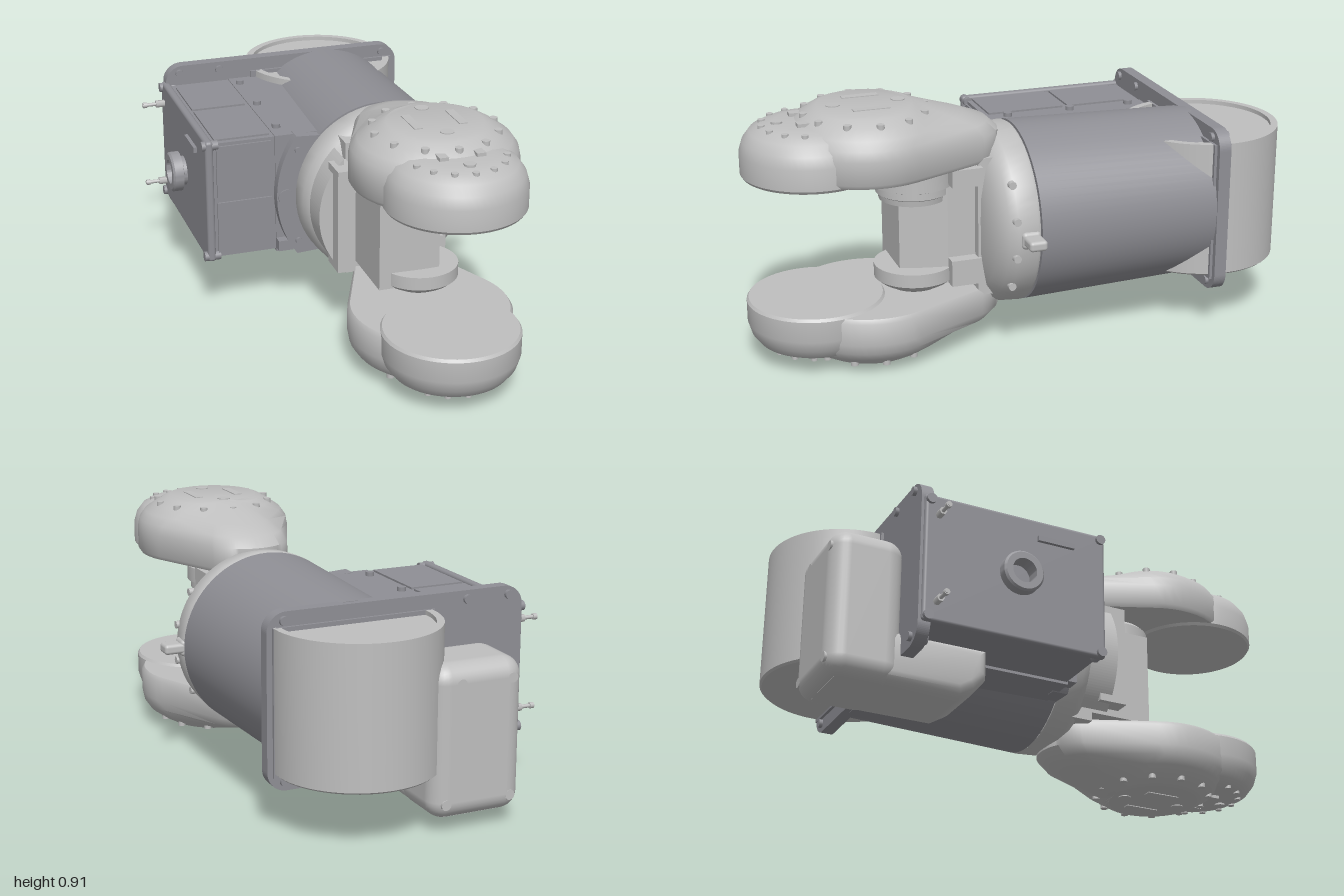
import * as THREE from 'three';
import { toCreasedNormals } from 'three/addons/utils/BufferGeometryUtils.js';
import { RoundedBoxGeometry } from 'three/addons/geometries/RoundedBoxGeometry.js';

const CX = 0.17, CY = 0.455; // main axis of the joint

export function createModel() {
  const root = new THREE.Group();
  root.name = 'robotJoint';
  const light = new THREE.MeshStandardMaterial({ color: 0xbfbfbf });
  light.name = 'light grey';
  const dark = new THREE.MeshStandardMaterial({ color: 0x8f8f95 });
  dark.name = 'dark grey';

  const add = (name, geo, mat, x = 0, y = 0, z = 0, parent = root) => {
    const m = new THREE.Mesh(geo, mat);
    m.name = name;
    m.position.set(x, y, z);
    parent.add(m);
    return m;
  };
  // box given by its limits, optionally with rounded edges
  const box = (name, mat, [x0, x1], [y0, y1], [z0, z1], r = 0) => {
    const s = [x1 - x0, y1 - y0, z1 - z0];
    const g = r ? new RoundedBoxGeometry(...s, 4, r) : new THREE.BoxGeometry(...s);
    return add(name, g, mat, (x0 + x1) / 2, (y0 + y1) / 2, (z0 + z1) / 2);
  };
  // cylinder along a chosen axis
  const rod = (name, mat, axis, r, len, x, y, z, seg = 20, parent = root) => {
    const g = new THREE.CylinderGeometry(r, r, len, seg);
    if (axis === 'x') g.rotateZ(Math.PI / 2);
    if (axis === 'z') g.rotateX(Math.PI / 2);
    return add(name, g, mat, x, y, z, parent);
  };
  const lathe = (pts, crease = 0.6) => toCreasedNormals(
    new THREE.LatheGeometry(pts.map(p => new THREE.Vector2(...p)), 64), crease);

  // ---- main tube, slightly tapered to the back
  const tube = new THREE.CylinderGeometry(0.326, 0.307, 0.69, 72).rotateX(Math.PI / 2);
  add('mainTube', tube, dark, CX, CY, -0.32);

  // ---- back flange with corner bolts
  const fx = 0.475, fy = 0.305, fr = 0.07;
  const fl = new THREE.Shape();
  fl.moveTo(-fx + fr, -fy);
  fl.absarc(fx - fr, -fy + fr, fr, -Math.PI / 2, 0);
  fl.absarc(fx - fr, fy - fr, fr, 0, Math.PI / 2);
  fl.absarc(-fx + fr, fy - fr, fr, Math.PI / 2, Math.PI);
  fl.absarc(-fx + fr, -fy + fr, fr, Math.PI, Math.PI * 1.5);
  add('backFlange', new THREE.ExtrudeGeometry(fl, { depth: 0.045, bevelEnabled: false, curveSegments: 10 }),
    dark, 0.005, CY, -0.69);
  box('flangeRim', dark, [-0.13, 0.46], [0.2, 0.71], [-0.7, -0.635]);
  for (const y of [0.183, 0.73]) for (const x of [-0.415, -0.255, 0.42])
    rod('flangeBolt', dark, 'z', 0.016, 0.07, x, y, -0.668, 12);

  // ---- rear drum, upright with a raised rim
  add('rearDrum', lathe([[0, 0.21], [0.28, 0.21], [0.288, 0.217], [0.288, 0.71], [0.262, 0.71], [0.262, 0.695], [0, 0.695]]),
    light, CX, 0, -0.71);

  // ---- rear motor cover and its foot under the flange
  box('motorCover', light, [-0.34, 0.0], [0.05, 0.585], [-0.945, -0.68], 0.065);
  const foot = new THREE.Shape([[-0.9, 0.052], [-0.46, 0.052], [-0.405, 0.085], [-0.36, 0.14], [-0.36, 0.25], [-0.9, 0.25]]
    .map(p => new THREE.Vector2(...p)));
  const footGeo = new THREE.ExtrudeGeometry(foot, { depth: 0.2, bevelThickness: 0.06, bevelSize: 0.04, bevelOffset: -0.04, bevelSegments: 4 });
  footGeo.rotateY(-Math.PI / 2);
  add('motorFoot', toCreasedNormals(footGeo, 0.7), light, -0.07, 0, 0);
  for (const [x, y] of [[-0.29, 0.11], [-0.05, 0.11], [-0.29, 0.52], [-0.1, 0.52]])
    rod('coverBolt', light, 'z', 0.018, 0.05, x, y, -0.92, 12);

  // ---- side electronics box
  box('boxNeck', dark, [-0.22, 0.05], [0.225, 0.685], [-0.65, -0.005]);
  box('boxBody', dark, [-0.46, -0.2], [0.235, 0.682], [-0.66, -0.01]);
  box('boxLid', dark, [-0.482, -0.452], [0.222, 0.695], [-0.68, 0.005], 0.012);
  for (const [z0, z1] of [[-0.6, -0.35], [-0.33, -0.03]])
    box('boxTopPanel', dark, [-0.44, -0.235], [0.68, 0.689], [z0, z1]);
  for (const [y0, y1] of [[0.25, 0.45], [0.47, 0.67]])
    box('boxFrontPanel', dark, [-0.44, -0.235], [y0, y1], [-0.012, -0.003]);
  for (const y of [0.24, 0.675]) for (const z of [-0.66, -0.015])
    rod('lidScrew', dark, 'x', 0.018, 0.06, -0.463, y, z, 12);
  for (const z of [-0.58, -0.34, -0.09]) rod('neckScrew', dark, 'y', 0.016, 0.02, -0.19, 0.69, z, 12);
  box('lidHandle', dark, [-0.495, -0.48], [0.61, 0.63], [-0.26, -0.12]);

  // crescent joining the box to the tube
  const cr = new THREE.Shape();
  const a = 0.63;
  cr.absarc(0, 0, 0.395, Math.PI - a, Math.PI + a, false);
  cr.absarc(0, 0, 0.3, Math.PI + 0.85, Math.PI - 0.85, true);
  add('boxCrescent', new THREE.ExtrudeGeometry(cr, { depth: 0.06, bevelEnabled: false, curveSegments: 24 }),
    dark, CX, CY, -0.03);
  rod('crescentPlug', dark, 'z', 0.03, 0.02, -0.19, CY, 0.025);
  for (const y of [0.275, 0.635]) rod('crescentBolt', dark, 'z', 0.012, 0.03, -0.145, y, 0.025, 12);
  box('cornerBlock', dark, [-0.22, -0.165], [0.24, 0.28], [-0.05, 0.03]);

  // ---- cable connector on the lid
  const conn = lathe([[0.045, 0.02], [0.045, 0.085], [0.068, 0.085], [0.075, 0.078], [0.075, 0.045], [0.055, 0.04],
    [0.055, 0.025], [0.095, 0.025], [0.095, 0], [0, 0], [0, 0.02], [0.045, 0.02]].reverse());
  conn.rotateZ(Math.PI / 2);
  const c = add('connector', conn, dark, -0.455, CY, -0.335);
  c.material = new THREE.MeshStandardMaterial({ color: 0x98989d, side: THREE.DoubleSide });
  c.material.name = 'connector grey';
  for (const y of [0.295, 0.62]) {
    rod('valvePin', light, 'x', 0.007, 0.1, -0.52, y, -0.63, 10);
    rod('valveNut', light, 'x', 0.014, 0.035, -0.5, y, -0.63, 6);
    rod('valveTip', light, 'x', 0.011, 0.015, -0.56, y, -0.63, 10);
  }

  // ---- front hub
  const hub = lathe([[0.322, 0], [0.327, 0.01], [0.322, 0.08], [0.305, 0.11], [0.265, 0.14], [0.18, 0.16], [0, 0.165]], 0.7);
  hub.rotateX(Math.PI / 2);
  const h = add('hub', hub, light, CX, CY, 0.03);
  h.material = light;
  const seg = new THREE.Shape();
  seg.absarc(0, 0, 0.305, Math.PI - 0.8, Math.PI + 0.8, false);
  add('hubSide', new THREE.ExtrudeGeometry(seg, { depth: 0.18, bevelEnabled: false, curveSegments: 24 }),
    light, CX, CY, 0.07);
  box('hubSideLip', light, [-0.085, -0.02], [0.26, 0.65], [0.2, 0.31]);
  box('hubBack', light, [-0.02, 0.32], [0.2, 0.71], [0.08, 0.2]);
  box('stopLug', light, [0.46, 0.565], [0.438, 0.475], [0.03, 0.095], 0.012);
  box('stopLugRoot', light, [0.455, 0.505], [0.425, 0.487], [0.03, 0.1], 0.015);
  for (const t of [-0.62, -0.2, 0.22, 0.62])
    rod('hubBolt', light, 'x', 0.014, 0.02, CX + 0.322 * Math.cos(t), CY + 0.322 * Math.sin(t), 0.115, 12);

  // ---- bearing column between the arms
  const col = new THREE.Shape([[0.015, -0.1], [0.285, -0.1], [0.285, -0.3], [0.24, -0.465], [0.015, -0.465]]
    .map(p => new THREE.Vector2(...p)));
  add('column', new THREE.ExtrudeGeometry(col, { depth: 0.36, bevelEnabled: false }).rotateX(-Math.PI / 2), light, 0, 0.25, 0);
  add('upperBearing', lathe([[0, 0.555], [0.122, 0.555], [0.125, 0.575], [0.133, 0.58], [0.133, 0.605], [0.145, 0.61],
    [0.145, 0.665], [0.13, 0.68], [0.08, 0.69], [0, 0.69]]), light, 0.185, 0, 0.395);
  add('lowerBearing', lathe([[0, 0.225], [0.09, 0.225], [0.125, 0.245], [0.145, 0.262], [0.145, 0.31], [0.12, 0.31], [0, 0.305]]),
    light, 0.185, 0, 0.395);
  box('upperLatch', light, [0.27, 0.345], [0.62, 0.685], [0.19, 0.3]);
  box('lowerLatch', light, [0.27, 0.33], [0.25, 0.345], [0.19, 0.3]);

  // ---- arms: stacked outlines, each the hull of a big and a small circle
  // level = [height, big radius, tail z, tail radius], heights from the axis
  const loft = (levels, zc) => {
    const N = 64, pos = [], idx = [];
    const ring = ([y, r, tip, r2]) => {
      const d = zc - tip - r2, b = Math.acos(Math.min(1, (r - r2) / d));
      for (let i = 0; i < N; i++) {
        const half = i < N / 2, k = half ? i / (N / 2 - 1) : (i - N / 2) / (N / 2 - 1);
        const t = half ? -(Math.PI - b) + k * 2 * (Math.PI - b) : Math.PI - b + k * 2 * b;
        const q = half ? r : r2, z0 = half ? zc : zc - d;
        pos.push(q * Math.sin(t), y, z0 + q * Math.cos(t));
      }
    };
    levels.forEach(ring);
    for (let l = 0; l < levels.length - 1; l++) for (let i = 0; i < N; i++) {
      const p = l * N + i, q = l * N + (i + 1) % N;
      idx.push(p, q, p + N, q, q + N, p + N);
    }
    const top = (levels.length - 1) * N;
    for (let i = 1; i < N - 1; i++) idx.push(0, i + 1, i, top, top + i, top + i + 1);
    const g = new THREE.BufferGeometry();
    g.setAttribute('position', new THREE.Float32BufferAttribute(pos, 3));
    g.setIndex(idx);
    return toCreasedNormals(g, 0.75);
  };
  const armLevels = [[0.235, 0.28, 0.095, 0.16], [0.25, 0.29, 0.085, 0.165], [0.33, 0.29, 0.087, 0.165], [0.365, 0.283, 0.125, 0.155],
    [0.395, 0.262, 0.21, 0.135], [0.425, 0.22, 0.31, 0.12], [0.445, 0.185, 0.37, 0.12], [0.452, 0.165, 0.395, 0.12]];
  const tipLobe = [[0, 0.225], [0.235, 0.225], [0.242, 0.235], [0.242, 0.31], [0.23, 0.35], [0.205, 0.383], [0.165, 0.403], [0.12, 0.411], [0, 0.411]];

  const makeArm = (name) => {
    const arm = new THREE.Group();
    arm.name = name;
    arm.position.set(CX, CY, 0);
    root.add(arm);
    add('armShell', loft(armLevels, 0.56), light, 0, 0, 0, arm);
    add('armTip', lathe(tipLobe, 0.6), light, 0, 0, 0.753, arm);
    // screws around the shell, on the tip and on the flat cap
    for (let i = 0; i < 12; i++) {
      const t = i * Math.PI / 6;
      rod('shellScrew', light, 'y', 0.014, 0.03, 0.213 * Math.sin(t), 0.422, 0.56 + 0.213 * Math.cos(t), 12, arm);
    }
    for (let i = -3; i <= 3; i++) {
      const t = i * 0.42;
      rod('tipScrew', light, 'y', 0.012, 0.03, 0.165 * Math.sin(t), 0.394, 0.753 + 0.165 * Math.cos(t), 12, arm);
    }
    rod('tipCap', light, 'y', 0.02, 0.015, 0, 0.41, 0.865, 16, arm);
    for (const z of [0.44, 0.67]) rod('capScrew', light, 'y', 0.024, 0.006, 0, 0.452, z, 16, arm);
    for (const s of [-1, 1]) {
      add('capSlot', new THREE.BoxGeometry(0.03, 0.006, 0.13), light, s * 0.08, 0.452, 0.555, arm);
      add('tipTab', new THREE.BoxGeometry(0.032, 0.03, 0.07), light, s * 0.065, 0.408, 0.775, arm);
    }
    return arm;
  };
  makeArm('upperArm');
  makeArm('lowerArm').rotation.z = Math.PI;

  return root;
}
